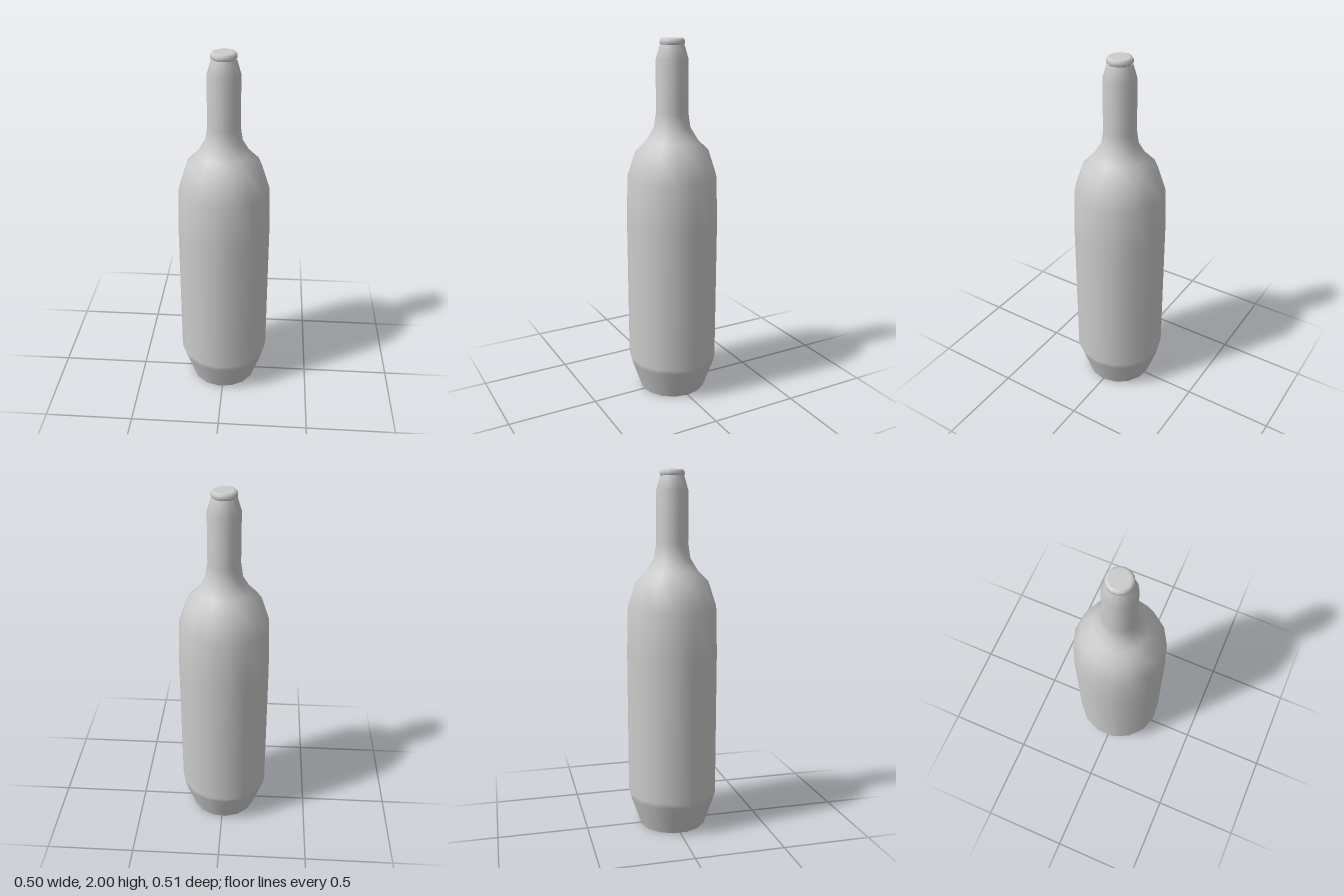
import * as THREE from 'three';

const SIDES = 15;

export function createModel() {
  const bottle = new THREE.Group();
  bottle.name = 'bottle';
  const material = new THREE.MeshStandardMaterial({ color: 0xcccccc });

  // Revolves [radius, height] pairs, with one corner of the polygon on +x
  function turned(name, profile) {
    const points = profile.map(([r, y]) => new THREE.Vector2(r, y));
    const mesh = new THREE.Mesh(new THREE.LatheGeometry(points, SIDES, Math.PI / 2), material);
    mesh.name = name;
    mesh.position.x = -0.003; // an odd number of sides is wider on one side
    bottle.add(mesh);
  }

  // Underside with a shallow recess
  turned('base', [[0, 0.025], [0.15, 0.025], [0.168, 0], [0.188, 0]]);

  // Tapered foot, straight body, shoulder and neck
  turned('body', [
    [0.188, 0], [0.247, 0.17], [0.254, 0.2], [0.255, 1.0], [0.248, 1.26],
    [0.202, 1.4], [0.142, 1.46], [0.1, 1.53], [0.088, 1.61],
    [0.088, 1.89], [0.065, 1.967],
  ]);

  // Rounded lip, closed at the top
  turned('lip', [
    [0.062, 1.966], [0.068, 1.973], [0.068, 1.988], [0.06, 1.999], [0.05, 2], [0, 2],
  ]);

  return bottle;
}
